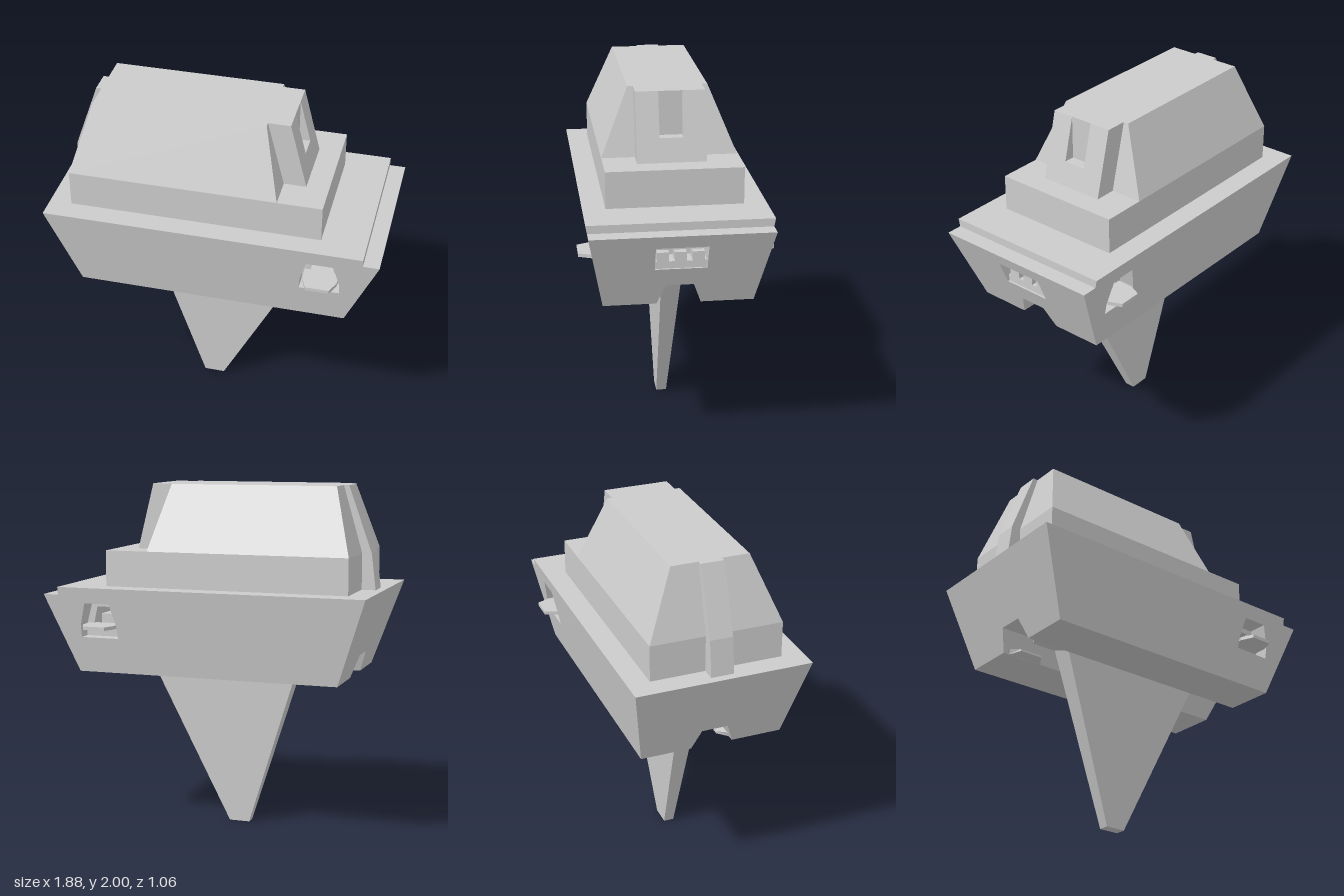
import * as THREE from 'three';

const mat = new THREE.MeshStandardMaterial({ color: 0xcccccc, flatShading: true, side: THREE.DoubleSide });
const shape = (pts) => new THREE.Shape(pts.map(([a, b]) => new THREE.Vector2(a, b)));

// Flat outline with holes, placed in space by a mapping (u, v) -> [x, y, z]
function panel(pts, holes, map) {
  const s = shape(pts);
  holes.forEach((h) => s.holes.push(shape(h)));
  const geo = new THREE.ShapeGeometry(s);
  const p = geo.attributes.position;
  for (let i = 0; i < p.count; i++) p.setXYZ(i, ...map(p.getX(i), p.getY(i)));
  geo.computeVertexNormals();
  return geo;
}

// Strip of quads joining two loops of corners
function band(a, b, closed = true) {
  const v = [];
  const n = a.length;
  for (let i = 0; i < (closed ? n : n - 1); i++) {
    const j = (i + 1) % n;
    v.push(...a[i], ...a[j], ...b[j], ...a[i], ...b[j], ...b[i]);
  }
  const geo = new THREE.BufferGeometry();
  geo.setAttribute('position', new THREE.Float32BufferAttribute(v, 3));
  geo.computeVertexNormals();
  return geo;
}

// Outline in x, y extruded from z0 to z1
function slab(pts, z0, z1) {
  const geo = new THREE.ExtrudeGeometry(shape(pts), { depth: z1 - z0, bevelEnabled: false });
  return geo.translate(0, 0, z0);
}

// Box with separate x range and half depth at bottom and top: [y, x0, x1, z]
function taper(lo, hi) {
  const geo = new THREE.BoxGeometry(1, 1, 1);
  const p = geo.attributes.position;
  for (let i = 0; i < p.count; i++) {
    const [y, x0, x1, z] = p.getY(i) > 0 ? hi : lo;
    p.setXYZ(i, p.getX(i) > 0 ? x1 : x0, y, p.getZ(i) > 0 ? z : -z);
  }
  geo.computeVertexNormals();
  return geo;
}

// Hull slopes
const sideZ = (y) => 0.41 + 0.09 * (y - 0.925) / 0.495;
const frontX = (y) => 0.755 + 0.185 * (y - 0.925) / 0.45;
const backX = (y) => -0.775 - 0.17 * (y - 0.925) / 0.495;

export function createModel() {
  const model = new THREE.Group();
  const add = (name, geo, parent = model) => {
    const m = new THREE.Mesh(geo, mat);
    m.name = name;
    parent.add(m);
    return m;
  };

  // Hull shell
  const hull = new THREE.Group();
  hull.name = 'hull';
  model.add(hull);
  const sideLine = [[-0.945, 1.42], [0.85, 1.42], [0.85, 1.375], [0.94, 1.375], [0.755, 0.925], [-0.775, 0.925]];
  const port = [[0.5, 1.13], [0.725, 1.13], [0.725, 1.2], [0.69, 1.33], [0.54, 1.33], [0.505, 1.2]];
  const doorway = [[0.545, 1.185], [0.685, 1.185], [0.66, 1.3], [0.57, 1.3]];
  const channel = [[0.12, 0.925], [0.075, 1.05], [-0.075, 1.05], [-0.12, 0.925]];
  const endLine = (top) => [[-sideZ(top), top], [-0.41, 0.925], ...[...channel].reverse(), [0.41, 0.925], [sideZ(top), top]];
  const windowLine = [[-0.14, 1.16], [0.14, 1.16], [0.14, 1.3], [-0.14, 1.3]];
  add('frontFace', panel(endLine(1.375), [windowLine], (z, y) => [frontX(y), y, z]), hull);
  add('backFace', panel(endLine(1.42), [], (z, y) => [backX(y), y, z]), hull);
  add('channelLining', band(
    channel.map(([z, y]) => [backX(y), y, z]),
    channel.map(([z, y]) => [frontX(y), y, z]), false), hull);
  // Deck with the step down at the front
  const deck = [[-0.945, 1.42], [0.85, 1.42], [0.85, 1.375], [0.94, 1.375]];
  add('deck', band(
    deck.map(([x, y]) => [x, y, sideZ(y)]),
    deck.map(([x, y]) => [x, y, -sideZ(y)]), false), hull);

  for (const s of [1, -1]) {
    add('hullSide', panel(sideLine, [port], (x, y) => [x, y, s * sideZ(y)]), hull);
    add('hullBottom', band(
      [[-0.775, 0.925, s * 0.41], [0.755, 0.925, s * 0.41]],
      [[-0.775, 0.925, s * 0.12], [0.755, 0.925, s * 0.12]], false), hull);
    // Side port: recess, inner wall and projecting ledge
    add('portRecess', band(
      port.map(([x, y]) => [x, y, s * sideZ(y)]),
      port.map(([x, y]) => [x, y, s * 0.37])), hull);
    add('portWall', panel(port, [doorway], (x, y) => [x, y, s * 0.37]), hull);
    const ledge = new THREE.ExtrudeGeometry(
      shape([[0.515, s * 0.35], [0.715, s * 0.35], [0.71, s * 0.46], [0.68, s * 0.53], [0.55, s * 0.53], [0.52, s * 0.46]]),
      { depth: 0.02, bevelEnabled: false });
    ledge.rotateX(Math.PI / 2).translate(0, 1.205, 0);
    add('portLedge', ledge, hull);
    // Small fin on the channel wall near the back
    add('channelLedge', band(
      [[-0.74, 0.925, s * 0.125], [-0.7, 0.937, s * 0.06], [-0.56, 0.937, s * 0.06], [-0.52, 0.925, s * 0.125]],
      [[-0.74, 0.955, s * 0.11], [-0.7, 0.95, s * 0.06], [-0.56, 0.95, s * 0.06], [-0.52, 0.955, s * 0.11]]), hull);
    for (const [y0, y1, z] of [[0.925, 0.937, 0.125], [0.955, 0.95, 0.11]]) {
      add('channelLedgeFace', band(
        [[-0.74, y0, s * z], [-0.52, y0, s * z]],
        [[-0.7, y1, s * 0.06], [-0.56, y1, s * 0.06]], false), hull);
    }
  }

  // Passage between the two ports, with a low block inside
  add('passage', band(
    doorway.map(([x, y]) => [x, y, 0.37]),
    doorway.map(([x, y]) => [x, y, -0.37])), hull);
  add('passageBlock', new THREE.BoxGeometry(0.1, 0.065, 0.6).translate(0.615, 1.2175, 0), hull);

  // Front window: recess, sill and three posts
  add('windowRecess', band(
    windowLine.map(([z, y]) => [frontX(y), y, z]),
    windowLine.map(([z, y]) => [0.74, y, z])), hull);
  add('windowBack', panel(windowLine, [], (z, y) => [0.74, y, z]), hull);
  add('windowSill', new THREE.BoxGeometry(0.1, 0.04, 0.28).translate(0.79, 1.18, 0), hull);
  for (const z of [-0.095, 0, 0.095]) {
    add('windowPost', slab([[0.74, 1.2], [0.84, 1.2], [0.84, 1.25], [0.8, 1.25], [0.8, 1.3], [0.74, 1.3]], z - 0.032, z + 0.032), hull);
  }

  // Superstructure
  add('superstructureBase', taper([1.42, -0.82, 0.6, 0.375], [1.625, -0.82, 0.6, 0.375]));
  add('superstructureTop', taper([1.625, -0.82, 0.35, 0.375], [2, -0.71, 0.255, 0.22]));
  add('rearRib', slab([[-0.9, 1.42], [-0.6, 1.42], [-0.6, 2], [-0.74, 2], [-0.875, 1.625]], -0.065, 0.065));

  // Front block with a notch between two cheeks
  const cheek = [[0.2, 1.625], [0.475, 1.625], [0.38, 2], [0.2, 2]];
  const notch = [[0.2, 1.625], [0.475, 1.625], [0.442, 1.755], [0.38, 1.755], [0.38, 2], [0.2, 2]];
  add('frontCheekLeft', slab(cheek, 0.065, 0.19));
  add('frontCheekRight', slab(cheek, -0.19, -0.065));
  add('frontNotch', slab(notch, -0.065, 0.065));

  // Tapered keel below the hull
  add('keel', taper([0, -0.15, -0.03, 0.03], [1.05, -0.48, 0.503, 0.06]));
  return model;
}
